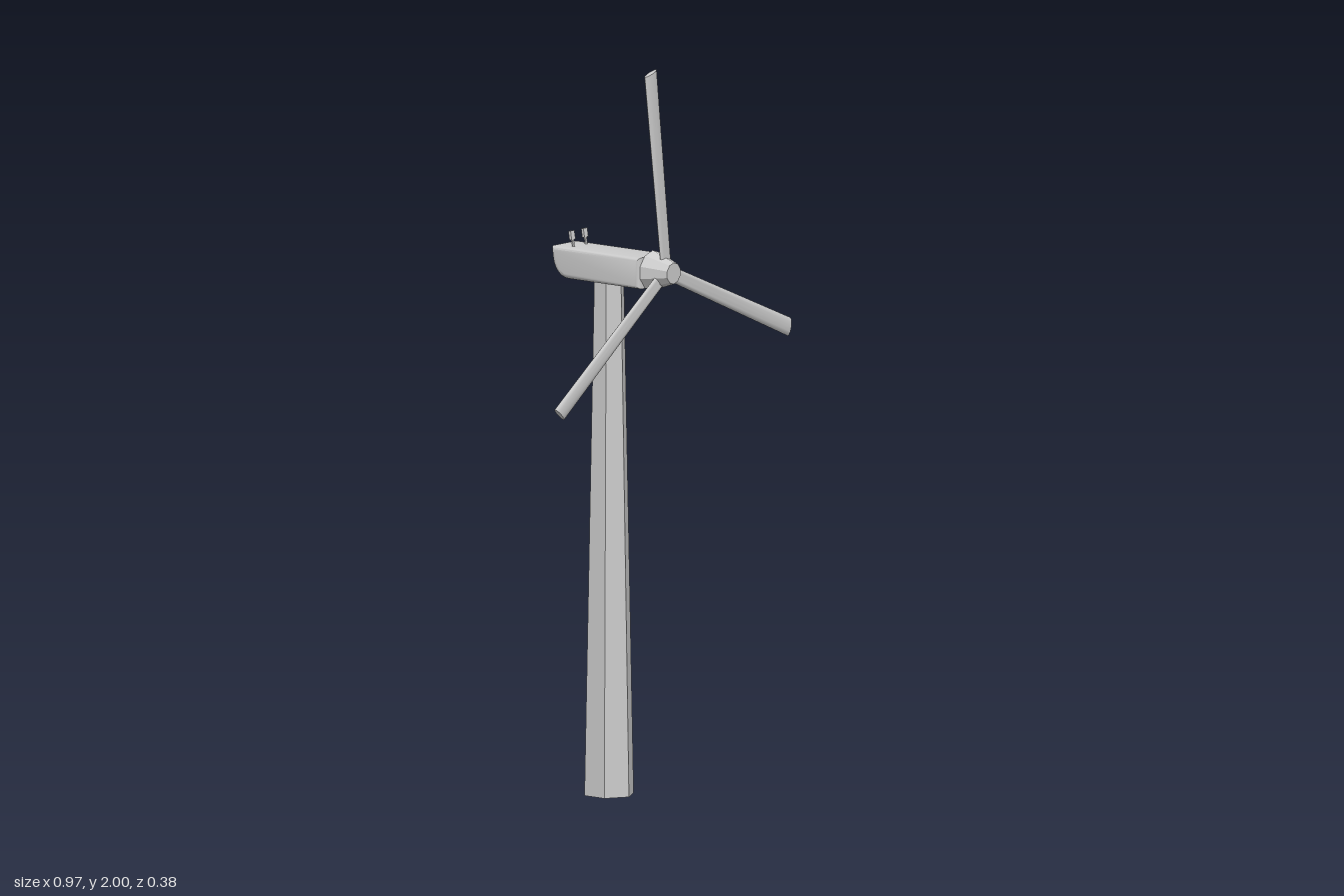
import * as THREE from 'three';
import { toCreasedNormals } from 'three/addons/utils/BufferGeometryUtils.js';

const smooth = new THREE.MeshStandardMaterial({ color: 0xcccccc });
const flat = new THREE.MeshStandardMaterial({ color: 0xcccccc, flatShading: true });

function add(parent, name, geometry, material, x = 0, y = 0, z = 0) {
  const mesh = new THREE.Mesh(geometry, material);
  mesh.name = name;
  mesh.position.set(x, y, z);
  parent.add(mesh);
  return mesh;
}

// Flat, lens-shaped blade growing along +y, widening outwards, with a slanted tip
function bladeGeometry(length) {
  const g = new THREE.CylinderGeometry(0.0245, 0.02, length, 12);
  g.translate(0, length / 2, 0);
  const p = g.attributes.position;
  for (let i = 0; i < p.count; i++) {
    const x = p.getX(i), y = p.getY(i);
    p.setXYZ(i, x, y > length / 2 ? y + x * 0.2 : y, p.getZ(i) * 0.32);
  }
  g.computeVertexNormals();
  return toCreasedNormals(g, 0.7);
}

// Side profile swept across the width, rounded by the bevel, with a curved-up tail
function nacelleGeometry(width, bevel) {
  const front = 0.117 - bevel, back = -0.192 + bevel;
  const top = 1.483 - bevel, bottom = 1.398 + bevel;
  const s = new THREE.Shape();
  s.moveTo(front, bottom);
  s.lineTo(front, top);
  s.lineTo(back, top);
  s.lineTo(back + 0.002, top - 0.015);
  s.quadraticCurveTo(back + 0.01, bottom, back + 0.045, bottom);
  s.closePath();
  const depth = width - 2 * bevel;
  const g = new THREE.ExtrudeGeometry(s, {
    depth, bevelThickness: bevel, bevelSize: bevel, bevelSegments: 4, curveSegments: 6,
  });
  g.translate(0, 0, -depth / 2);
  g.rotateY(-Math.PI / 2);
  return toCreasedNormals(g, 0.7);
}

export function createModel() {
  const turbine = new THREE.Group();
  turbine.name = 'windTurbine';
  const axisX = -0.035, axisY = 1.443;

  // Six-sided tapering tower, corners pointing to the sides
  const towerHeight = 1.41;
  const tower = new THREE.CylinderGeometry(0.042, 0.07, towerHeight, 6);
  tower.rotateY(Math.PI / 6);
  const hasSideCorner = Math.abs(tower.attributes.position.getZ(0)) < 0.03;
  add(turbine, 'tower', hasSideCorner ? tower : tower.rotateY(Math.PI / 6), flat,
    axisX, towerHeight / 2, -0.036);

  // Machine housing
  add(turbine, 'nacelle', nacelleGeometry(0.118, 0.013), smooth, axisX);

  // Two small sensors on posts at the rear of the roof
  for (const x of [-0.06, -0.007]) {
    const sensor = new THREE.Group();
    sensor.name = 'sensor';
    sensor.position.set(x, 1.48, -0.14);
    sensor.rotation.x = -0.17;
    add(sensor, 'sensorPost', new THREE.CylinderGeometry(0.004, 0.004, 0.024, 6), flat, 0, 0.011, 0);
    add(sensor, 'sensorHead', new THREE.BoxGeometry(0.016, 0.024, 0.008), flat, 0, 0.033, 0);
    turbine.add(sensor);
  }

  // Spinner cone in front of the housing
  const spinner = new THREE.CylinderGeometry(0.029, 0.055, 0.074, 10);
  spinner.rotateX(Math.PI / 2);
  add(turbine, 'spinner', spinner, flat, axisX, axisY, 0.155);

  // Three-bladed rotor
  const rotor = new THREE.Group();
  rotor.name = 'rotor';
  rotor.position.set(-0.026, axisY, 0.158);
  rotor.rotation.z = THREE.MathUtils.degToRad(6.8);
  const blade = bladeGeometry(0.552);
  for (let i = 0; i < 3; i++) {
    add(rotor, 'blade', blade, smooth).rotation.z = (i * Math.PI * 2) / 3;
  }
  turbine.add(rotor);

  return turbine;
}
